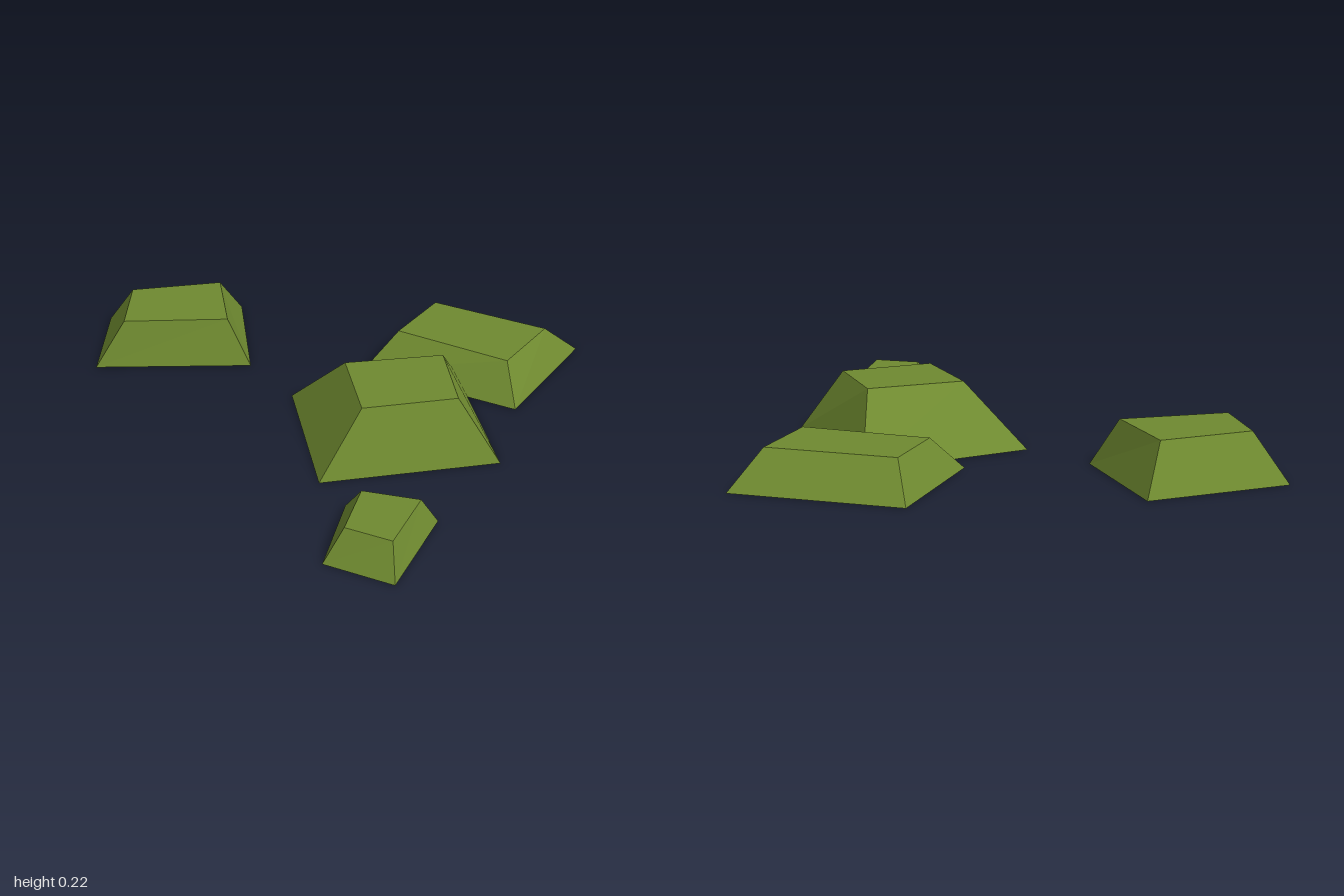
import * as THREE from 'three';

// Low, flat-topped mound: base and top outlines run back-left, back-right,
// front-right, front-left as [x, z] pairs.
function moundGeometry(base, top, height) {
  const b = base.map(([x, z]) => [x, 0, z]);
  const t = top.map(([x, z]) => [x, height, z]);
  const points = [];
  const quad = (p, q, r, s) => points.push(...p, ...q, ...r, ...p, ...r, ...s);

  quad(t[0], t[3], t[2], t[1]); // flat top
  quad(b[0], b[1], b[2], b[3]); // underside
  for (let i = 0; i < 4; i++) { // sloping sides
    const j = (i + 1) % 4;
    quad(b[j], b[i], t[i], t[j]);
  }

  const geometry = new THREE.BufferGeometry();
  geometry.setAttribute('position', new THREE.Float32BufferAttribute(points, 3));
  geometry.computeVertexNormals();
  return geometry;
}

export function createModel() {
  const group = new THREE.Group();
  group.name = 'grassMounds';

  const moss = new THREE.MeshStandardMaterial({ color: 0x6f8a30 });
  moss.name = 'mossGreen';

  const mounds = [
    {
      name: 'centreMound', height: 0.225,
      base: [[-0.22, -0.255], [0.42, -0.315], [0.43, 0.35], [-0.22, 0.36]],
      top: [[-0.05, -0.07], [0.31, -0.06], [0.295, 0.255], [-0.05, 0.26]],
    },
    {
      name: 'backLeftMound', height: 0.13,
      base: [[0.44, -0.79], [0.925, -0.41], [0.575, 0], [0.08, -0.4]],
      top: [[0.415, -0.65], [0.78, -0.36], [0.575, -0.14], [0.225, -0.445]],
    },
    {
      name: 'backRightMound', height: 0.17,
      base: [[-0.84, -1], [-0.31, -1], [-0.34, -0.51], [-0.925, -0.605]],
      top: [[-0.75, -0.9], [-0.405, -0.9], [-0.415, -0.585], [-0.805, -0.64]],
    },
    {
      name: 'smallFrontMound', height: 0.11,
      base: [[-0.155, 0.515], [0.135, 0.665], [-0.08, 1], [-0.29, 0.84]],
      top: [[-0.115, 0.6], [0.07, 0.69], [-0.07, 0.91], [-0.21, 0.805]],
    },
  ];

  for (const { name, base, top, height } of mounds) {
    const mesh = new THREE.Mesh(moundGeometry(base, top, height), moss);
    mesh.name = name;
    group.add(mesh);
  }
  return group;
}
